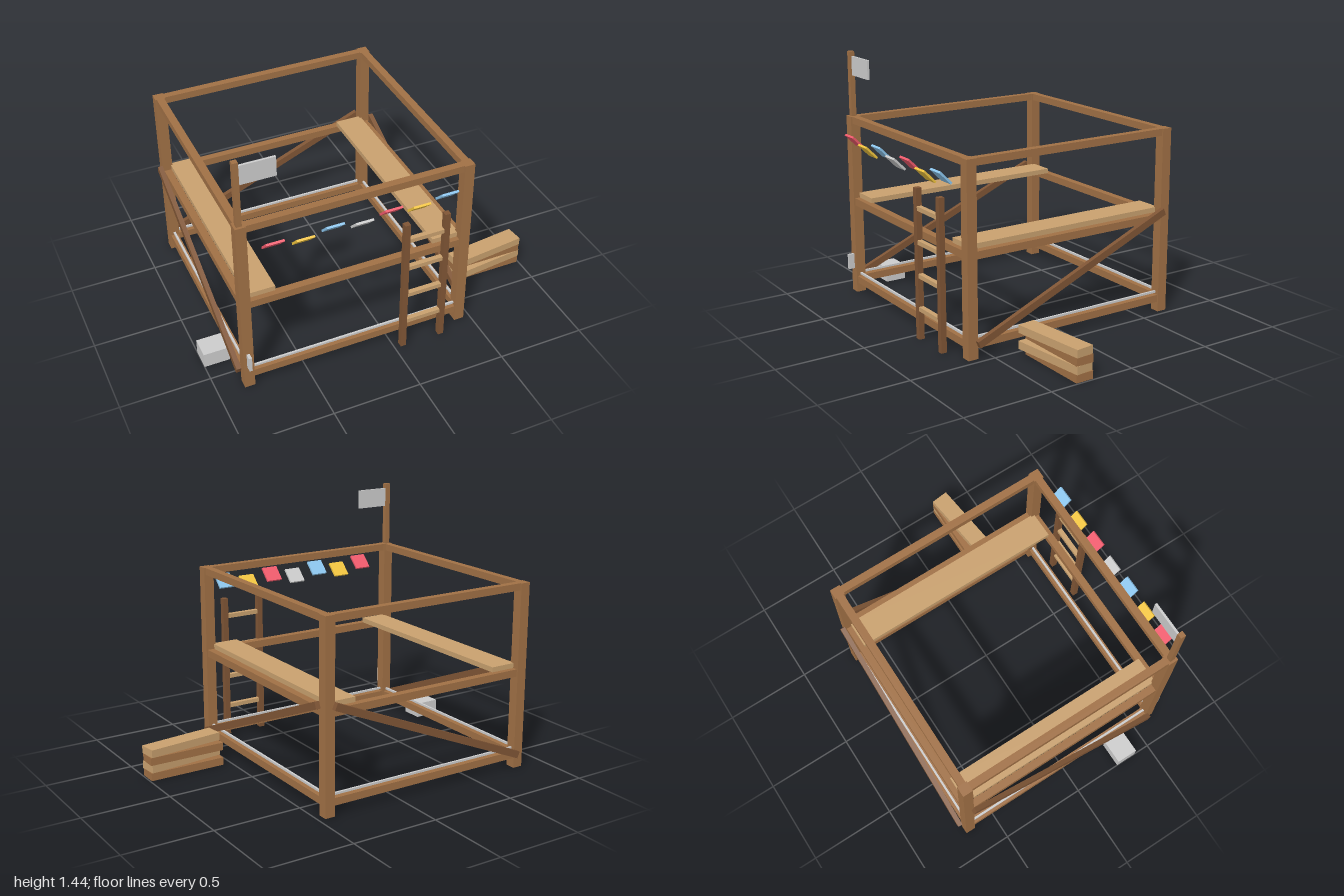
import * as THREE from 'three';

const mat = (color) => new THREE.MeshStandardMaterial({ color });

export function createModel() {
  const root = new THREE.Group();
  const wood = mat(0xa07045), darkWood = mat(0x7f5535), paleWood = mat(0xc8a06e), grey = mat(0xcccccc);
  const pennants = [mat(0xf05a6c), mat(0xf2c53f), mat(0x8cc6ee), grey];

  const box = (name, material, size, pos, parent = root) => {
    const m = new THREE.Mesh(new THREE.BoxGeometry(...size), material);
    m.name = name;
    m.position.set(...pos);
    parent.add(m);
    return m;
  };
  const group = (name) => {
    const g = new THREE.Group();
    g.name = name;
    root.add(g);
    return g;
  };

  // Post centres
  const xs = [-0.825, 0.434], zs = [0.608, -0.66];
  const cx = (xs[0] + xs[1]) / 2, cz = (zs[0] + zs[1]) / 2;
  const spanX = xs[1] - xs[0], spanZ = zs[0] - zs[1];
  const post = 0.058, top = 1.065;

  // Corner posts
  const frame = group('frame');
  for (const x of xs) for (const z of zs) box('cornerPost', wood, [post, top, post], [x, top / 2, z], frame);

  // Horizontal rails on all four sides, with a thin strip above the lowest
  const ring = (name, material, y, t, w) => {
    for (const z of zs) box(name, material, [spanX - post, t, w], [cx, y, z], frame);
    for (const x of xs) box(name, material, [w, t, spanZ - post], [x, y, cz], frame);
  };
  ring('topRail', wood, 1.045, 0.04, 0.042);
  ring('middleRail', wood, 0.558, 0.042, 0.042);
  ring('bottomRail', wood, 0.077, 0.042, 0.042);
  ring('thinStrip', grey, 0.113, 0.012, 0.012);

  // Diagonal braces outside the posts
  const rise = 0.515, braceY = 0.342, thick = 0.027, off = post / 2 + thick / 2;
  const sideLen = Math.hypot(1.225, rise), backLen = Math.hypot(1.22, rise);
  for (const [i, s] of [[0, -1], [1, 1]]) {
    const b = box('sideBrace', darkWood, [thick, 0.04, sideLen], [xs[i] + s * off, braceY, cz], frame);
    b.rotation.x = Math.atan2(rise, 1.225);
  }
  const back = box('backBrace', darkWood, [backLen, 0.04, thick], [cx, braceY, zs[1] - off], frame);
  back.rotation.z = Math.atan2(rise, 1.22);

  // Walkway planks resting on the middle rails
  for (const x of [-0.725, 0.335])
    box('walkwayPlank', paleWood, [0.157, 0.029, 1.25], [x, 0.593, cz], frame);

  // Ladder
  const ladder = group('ladder');
  for (const x of [0.051, 0.283]) box('ladderRail', darkWood, [0.032, 0.842, 0.033], [x, 0.421, 0.686], ladder);
  for (let i = 0; i < 4; i++)
    box('ladderRung', paleWood, [0.2, 0.024, 0.028], [0.167, 0.175 + i * 0.186, 0.686], ladder);

  // Flag pole with flag
  const flag = group('flag');
  box('flagPole', wood, [0.03, 0.385, 0.03], [-0.827, 1.247, 0.608], flag);
  box('flagCloth', grey, [0.194, 0.11, 0.013], [-0.716, 1.357, 0.606], flag);

  // Row of tilted pennants under the front top rail
  const row = group('pennantRow');
  [0, 1, 2, 3, 0, 1, 2].forEach((c, i) => {
    const p = box('pennant', pennants[c], [0.097, 0.095, 0.012],
      [-0.677 + i * 0.16, i % 2 ? 0.922 : 0.95, 0.677], row);
    p.rotation.x = Math.PI / 4;
  });

  // Small plate on the front post, and a loose block beside the frame
  box('postPlate', grey, [0.017, 0.09, 0.036], [-0.827, 0.188, 0.655]);
  box('looseBlock', grey, [0.145, 0.088, 0.125], [-0.9275, 0.044, 0.343]);

  // Stack of spare boards, alternately turned
  const stack = group('boardStack');
  for (let i = 0; i < 4; i++) {
    const turned = i % 2;
    const b = box('spareBoard', turned ? paleWood : wood, [0.442, 0.0445, 0.103],
      [0.771, 0.0225 + i * 0.0445, turned ? 0.316 : 0.292], stack);
    b.rotation.y = turned ? 0.115 : 0;
  }
  return root;
}
